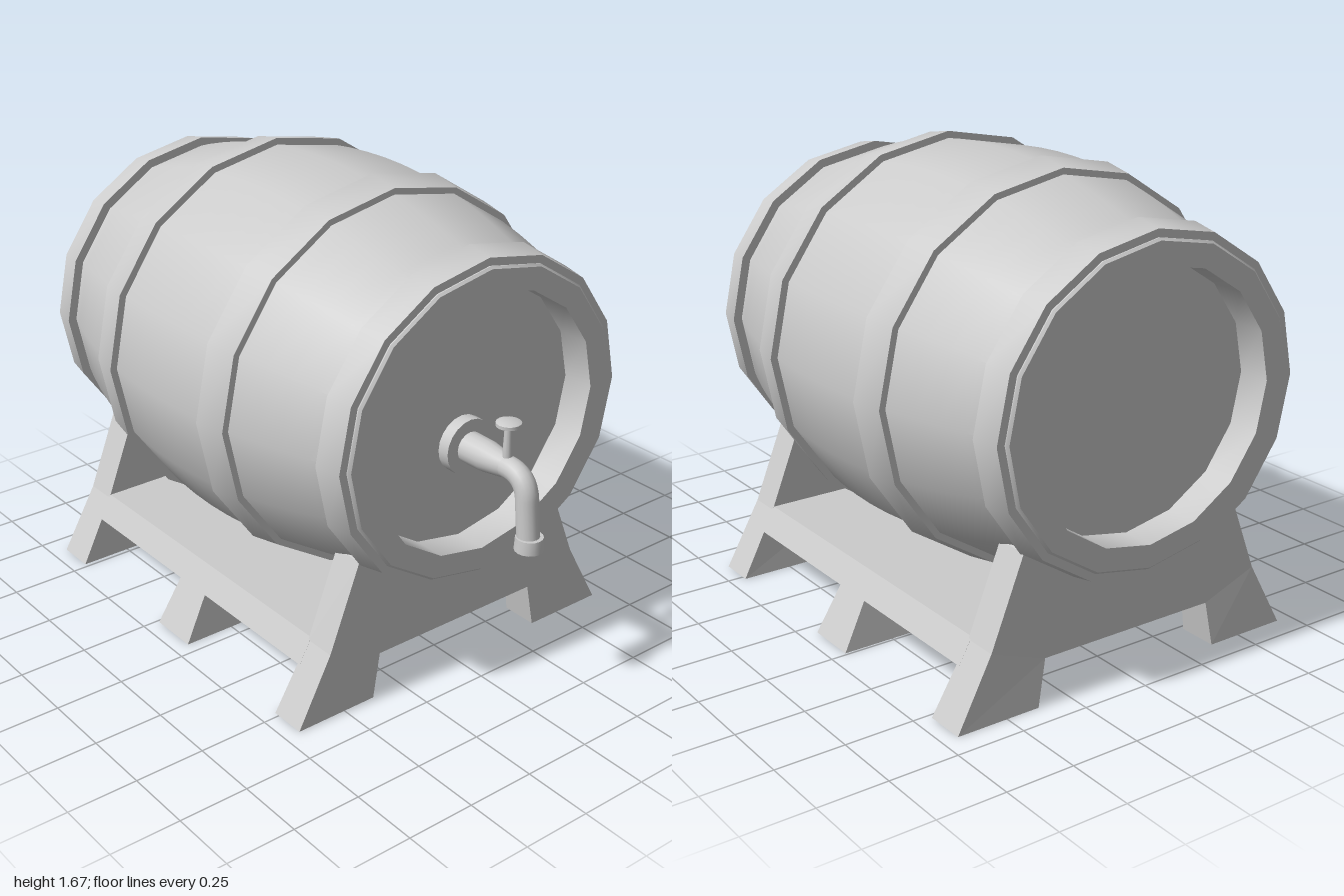
import * as THREE from 'three';
import { toCreasedNormals } from 'three/addons/utils/BufferGeometryUtils.js';

const material = new THREE.MeshStandardMaterial({ color: 0xcccccc });
const AXIS_Y = 0.965, MID_Z = -0.135, HALF = 0.865, SIDES = 16;

function add(parent, name, geometry, x = 0, y = 0, z = 0) {
  const mesh = new THREE.Mesh(geometry, material);
  mesh.name = name;
  mesh.position.set(x, y, z);
  parent.add(mesh);
  return mesh;
}

// Revolve [radius, height] points, then lay the axis along z
function turned(points, sides = SIDES) {
  const g = new THREE.LatheGeometry(points.map(p => new THREE.Vector2(...p)), sides);
  g.rotateX(Math.PI / 2);
  return toCreasedNormals(g, 0.5);
}

// Extrude an [x, y] outline from z0 to z1, widening towards the floor
function slab(points, z0, z1, flare0 = 0, flare1 = 0) {
  const shape = new THREE.Shape(points.map(p => new THREE.Vector2(...p)));
  const g = new THREE.ExtrudeGeometry(shape, { depth: z1 - z0, bevelEnabled: false });
  g.translate(0, 0, z0);
  const pos = g.attributes.position, mid = (z0 + z1) / 2;
  for (let i = 0; i < pos.count; i++) {
    const k = Math.max(0, 1 - pos.getY(i) / 0.165);
    const z = pos.getZ(i);
    pos.setZ(i, z < mid ? z - flare0 * k : z + flare1 * k);
  }
  g.computeVertexNormals();
  return g;
}

const mirrored = half => [...half, ...half.map(([x, y]) => [-x, y]).reverse()];

function createBarrel() {
  const barrel = new THREE.Group();
  barrel.name = 'barrel';
  barrel.position.set(0, AXIS_Y, MID_Z);
  barrel.scale.x = 1.045;

  // Bulging staves with a recessed head at each end
  const recess = HALF - 0.12, rim = 0.46;
  const profile = [[0, -recess], [rim, -recess], [rim, -HALF], [0.54, -HALF], [0.548, -HALF + 0.008]];
  for (let i = -8; i <= 8; i++) {
    const d = i * 0.1;
    profile.push([0.695 - 0.235 * d * d, d]);
  }
  profile.push([0.548, HALF - 0.008], [0.54, HALF], [rim, HALF], [rim, recess], [0, recess]);
  add(barrel, 'staves', turned(profile));

  // Hoops: [inner z, outer z, inner radius, outer radius]
  const hoops = [['middleHoop', 0.267, 0.385, 0.703, 0.682], ['endHoop', 0.755, 0.852, 0.592, 0.575]];
  for (const [name, z0, z1, r0, r1] of hoops) {
    const section = [[0.52, z0], [r0, z0], [r1, z1], [0.52, z1]];
    add(barrel, name, turned(section));
    add(barrel, name, turned(section.map(([r, z]) => [r, -z]).reverse()));
  }
  return barrel;
}

function createStand() {
  const stand = new THREE.Group();
  stand.name = 'stand';
  // End panels with splayed legs; their upper arms cradle the barrel
  const panel = mirrored([
    [0.345, 0.165], [0.375, 0], [0.69, 0], [0.557, 0.243], [0.435, 0.553], [0.39, 0.575], [0.22, 0.47]
  ]);
  add(stand, 'frontPanel', slab(panel, 0.492, 0.612, 0.012, 0.003));
  add(stand, 'backPanel', slab(panel, -0.905, -0.78, 0.008, 0.012));
  add(stand, 'platform', slab(mirrored([[0.6, 0.165], [0.551, 0.255]]), -0.79, 0.5));
  // Middle feet
  const foot = [[0.375, 0], [0.69, 0], [0.6, 0.165], [0.345, 0.165]];
  add(stand, 'leftMiddleFoot', slab(foot, -0.222, -0.065, 0.018, 0.015));
  add(stand, 'rightMiddleFoot', slab(foot.map(([x, y]) => [-x, y]).reverse(), -0.222, -0.065, 0.018, 0.015));
  return stand;
}

function createTap() {
  const tap = new THREE.Group();
  tap.name = 'tap';
  const y = 0.855, headZ = MID_Z + HALF - 0.12;
  add(tap, 'tapFlange', turned([[0, -0.02], [0.1, -0.02], [0.1, 0.045], [0, 0.045]], 20), 0, y, headZ);
  add(tap, 'tapCollar', turned([[0.056, 0], [0.054, 0.13], [0.04, 0.22]], 16), 0, y, headZ);

  // Bent spout
  const path = new THREE.CurvePath();
  const v = (py, pz) => new THREE.Vector3(0, py, pz);
  path.add(new THREE.LineCurve3(v(y, headZ), v(y, 0.84)));
  path.add(new THREE.QuadraticBezierCurve3(v(y, 0.84), v(y, 0.925), v(0.77, 0.931)));
  path.add(new THREE.LineCurve3(v(0.77, 0.931), v(0.615, 0.947)));
  add(tap, 'spout', new THREE.TubeGeometry(path, 32, 0.039, 16));
  add(tap, 'nozzle', toCreasedNormals(new THREE.CylinderGeometry(0.047, 0.05, 0.047, 16), 0.6), 0, 0.6235, 0.95);

  // Stem and round handle
  add(tap, 'stem', new THREE.CylinderGeometry(0.013, 0.018, 0.13, 10), 0, 0.935, 0.832);
  const handle = [[0, 0.992], [0.02, 0.992], [0.043, 1.002], [0.043, 1.014], [0.03, 1.02], [0, 1.02]];
  const g = new THREE.LatheGeometry(handle.map(p => new THREE.Vector2(...p)), 16);
  add(tap, 'handle', toCreasedNormals(g, 0.5), 0, 0, 0.832);
  return tap;
}

export function createModel() {
  const model = new THREE.Group();
  model.name = 'barrelOnStand';
  model.add(createBarrel(), createStand(), createTap());
  return model;
}
